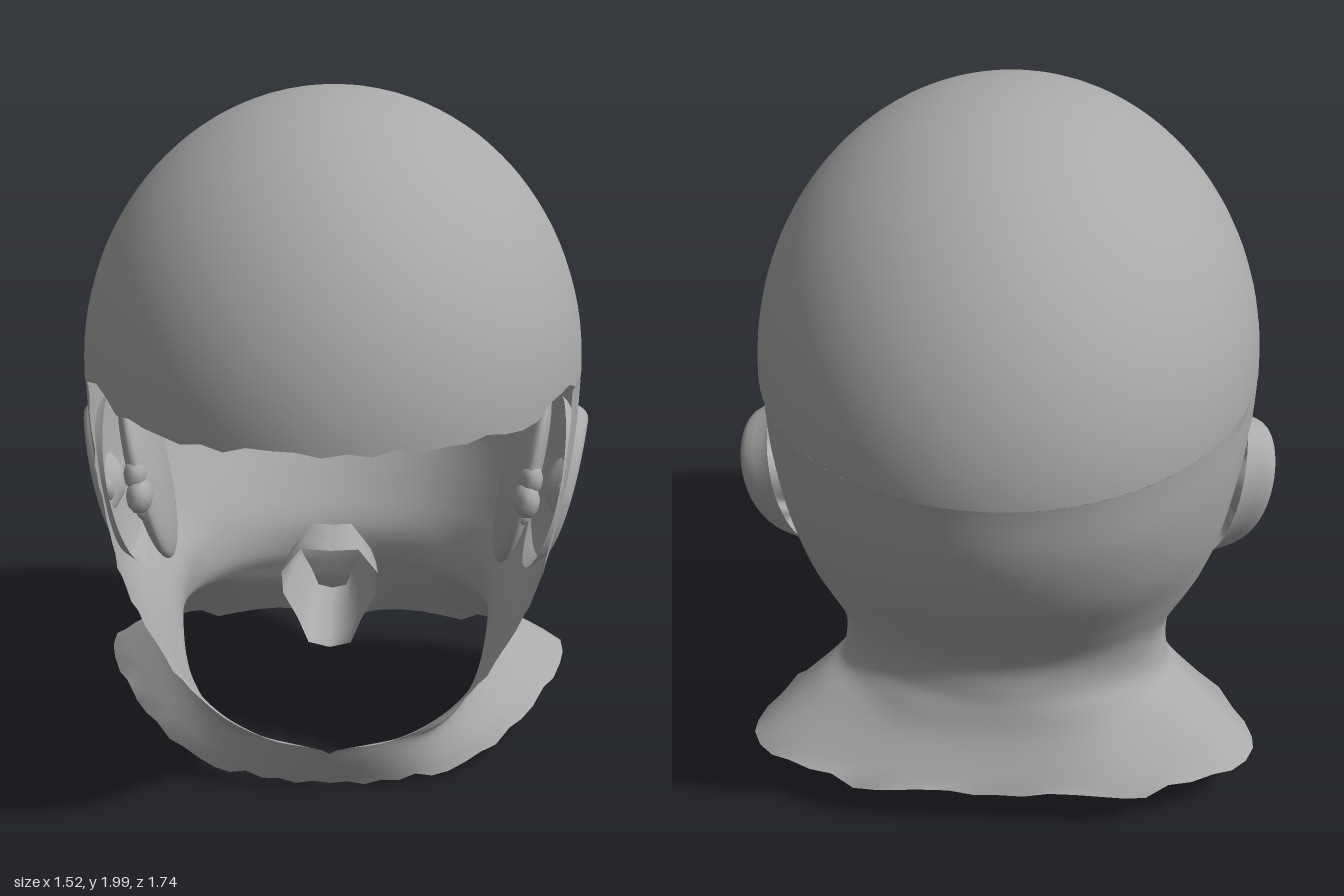
import * as THREE from 'three';

const skin = new THREE.MeshStandardMaterial({ color: 0xaaaaaa, side: THREE.DoubleSide });
skin.name = 'plain grey';

const RX = 0.705, RZ = 0.87, BROW = 1.24;
const RIM = Math.acos(0.33 / RZ);

// small repeatable offset for the ragged edges, from -1 to 1
function rag(i) {
  const s = Math.sin(i * 12.9898 + 4.1) * 43758.5453;
  return (s - Math.floor(s)) * 2 - 1;
}

// smooth surface from a grid of points; rows run down, columns run round
function gridMesh(name, rows, cols, pointAt) {
  const pos = [], index = [];
  for (let i = 0; i <= rows; i++) {
    for (let j = 0; j <= cols; j++) {
      const p = pointAt(i, j);
      pos.push(p.x, p.y, p.z);
      if (i < rows && j < cols) {
        const a = i * (cols + 1) + j, b = a + cols + 1;
        index.push(a, b, a + 1, a + 1, b, b + 1);
      }
    }
  }
  const g = new THREE.BufferGeometry();
  g.setAttribute('position', new THREE.Float32BufferAttribute(pos, 3));
  g.setIndex(index);
  g.computeVertexNormals();
  const m = new THREE.Mesh(g, skin);
  m.name = name;
  return m;
}

// angle round the head at station s: 0 is the face rim, 5 the middle of the back
function stationAngle(s) {
  return s < 2 ? RIM + s * 0.25 : RIM + 0.5 + (s - 2) * (Math.PI - RIM - 0.5) / 3;
}

// level half cross-section of the skull, as an ellipse with its own back depth
function skullSection(y, rx, back) {
  return [0, 1, 2, 3, 4, 5].map(s => {
    const a = stationAngle(s), c = Math.cos(a);
    return [rx * Math.sin(a), y, (c > 0 ? RZ : back) * c];
  });
}

// half cross-sections from the brow down; the jaw and neck ones are tilted
const sections = [
  skullSection(BROW, RX, RZ),
  skullSection(1.05, .697, .84),
  skullSection(.85, .67, .76),
  skullSection(.64, .62, .62),
  [[.47, .42, .32], [.51, .45, .14], [.51, .47, -.07], [.44, .50, -.35], [.25, .50, -.49], [0, .50, -.54]],
  [[.32, .25, .33], [.43, .29, .17], [.47, .35, -.05], [.46, .38, -.31], [.26, .40, -.48], [0, .40, -.54]],
  [[.17, .18, .35], [.36, .21, .23], [.46, .29, -.02], [.48, .33, -.31], [.28, .34, -.50], [0, .34, -.55]],
  [[0, .15, .37], [.28, .15, .27], [.47, .23, 0], [.55, .28, -.34], [.31, .27, -.53], [0, .27, -.57]],
  [[0, .015, .30], [.30, .025, .26], [.58, .09, .02], [.74, .14, -.42], [.42, .13, -.62], [0, .13, -.64]],
];

// lower head, open face rim, neck and shoulder flare
function lowerHead() {
  const rows = 48, cols = 60;
  const stations = sections[0].map((_, k) =>
    new THREE.CatmullRomCurve3(sections.map(s => new THREE.Vector3(...s[k])), false, 'centripetal'));
  const rings = [];
  for (let i = 0; i <= rows; i++) {
    const half = stations.map(c => c.getPoint(i / rows));
    const other = half.slice(0, -1).reverse().map(p => new THREE.Vector3(-p.x, p.y, p.z));
    rings.push(new THREE.CatmullRomCurve3([...half, ...other], false, 'catmullrom', 0.5));
  }
  return gridMesh('lowerHeadAndNeck', rows, cols, (i, j) => {
    const s = j / cols * 10;
    if (i === 0) {
      const a = stationAngle(Math.min(s, 10 - s));
      return new THREE.Vector3(Math.sign(5 - s) * RX * Math.sin(a), BROW, RZ * Math.cos(a));
    }
    const p = rings[i].getPoint(j / cols);
    if ((j === 0 || j === cols) && i < rows * 0.58) p.z += 0.018 * rag(i);
    if (i === rows) p.y = Math.max(0, p.y + 0.018 * rag(Math.abs(j - cols / 2)));
    return p;
  });
}

// domed cranium with a ragged brow edge
function cranium() {
  const g = new THREE.SphereGeometry(1, 72, 28, 0, Math.PI * 2, 0, Math.PI / 2);
  g.scale(RX, 2 - BROW, RZ);
  g.translate(0, BROW, 0);
  const p = g.attributes.position;
  for (let i = 0; i < p.count; i++) {
    const z = p.getZ(i);
    if (p.getY(i) < BROW + 0.001 && z > 0.36) {
      const lift = z < 0.5 ? 0.025 : -0.008;
      p.setY(i, BROW + lift + 0.012 * rag(Math.round(p.getX(i) * 40)));
    }
  }
  const m = new THREE.Mesh(g, skin);
  m.name = 'cranium';
  return m;
}

// height of the ear above the skin, by distance from its middle
const earRelief = new THREE.SplineCurve([
  [0, -.025], [.2, -.02], [.4, .005], [.52, .042], [.66, .04], [.8, .06], [.92, .045], [1, -.012],
].map(q => new THREE.Vector2(...q)));

function ear() {
  const group = new THREE.Group();
  const rings = 22, cols = 40;
  group.add(gridMesh('outerEar', rings, cols, (i, j) => {
    const r = i / rings, a = -j / cols * Math.PI * 2;
    const s = Math.sin(a), c = Math.cos(a);
    const y = 0.835 + 0.245 * r * s, z = -0.06 + 0.2 * r * c - 0.05 * r * s;
    const d = y - 0.59;
    const h = earRelief.getPoint(r).y;
    const back = 0.62 - 0.38 * c + 0.15 * s;
    const x = 0.58 + 0.4 * d - 0.36 * d * d + (h > 0 ? h * (0.35 + back) : h);
    return new THREE.Vector3(x, y, z);
  }));

  // curl in front of the ear canal
  const curl = new THREE.Mesh(new THREE.SphereGeometry(1, 14, 10), skin);
  curl.name = 'earFlap';
  curl.scale.set(0.022, 0.045, 0.03);
  curl.position.set(0.672, 0.82, 0.015);
  curl.rotation.x = 0.6;
  group.add(curl);

  // shallow pocket on the inside of the head behind the ear
  const pocket = new THREE.Mesh(new THREE.SphereGeometry(1, 28, 20), skin);
  pocket.name = 'earPocket';
  pocket.scale.set(0.05, 0.295, 0.19);
  pocket.position.set(0.558, 0.87, -0.06);
  pocket.rotation.z = -0.21;
  group.add(pocket);

  // folded canal lumps on the pocket
  for (const [y, z, s] of [[.90, .03, .045], [.84, .05, .05], [.79, .02, .035]]) {
    const lump = new THREE.Mesh(new THREE.IcosahedronGeometry(s, 1), skin);
    lump.name = 'earCanalFold';
    lump.position.set(0.56 + (y - 0.84) * 0.2, y, z + 0.06);
    lump.scale.set(0.8, 1.1, 1.2);
    group.add(lump);
  }
  return group;
}

// open mouth lining: a short tapering channel, [x, y] outline swept from front to back
function mouthLining() {
  const outline = [[0, .765], [.08, .77], [.135, .70], [.13, .635], [.09, .56], [.06, .485], [0, .47]];
  const closed = [...outline, ...outline.slice(1, -1).reverse().map(([x, y]) => [-x, y])];
  const depth = [[.33, 1, 0], [.25, .96, 0], [.17, .85, .015], [.10, .68, .03]];
  return gridMesh('mouthLining', depth.length - 1, closed.length, (i, j) => {
    const [z, k, up] = depth[i];
    const [x, y] = closed[j % closed.length];
    return new THREE.Vector3(x * k, 0.63 + up + (y - 0.63) * k, z);
  });
}

export function createModel() {
  const model = new THREE.Group();
  model.name = 'headShell';
  model.add(cranium(), lowerHead(), mouthLining());
  for (const side of [1, -1]) {
    const e = ear();
    e.name = side > 0 ? 'leftEar' : 'rightEar';
    e.scale.x = side;
    model.add(e);
  }
  return model;
}
